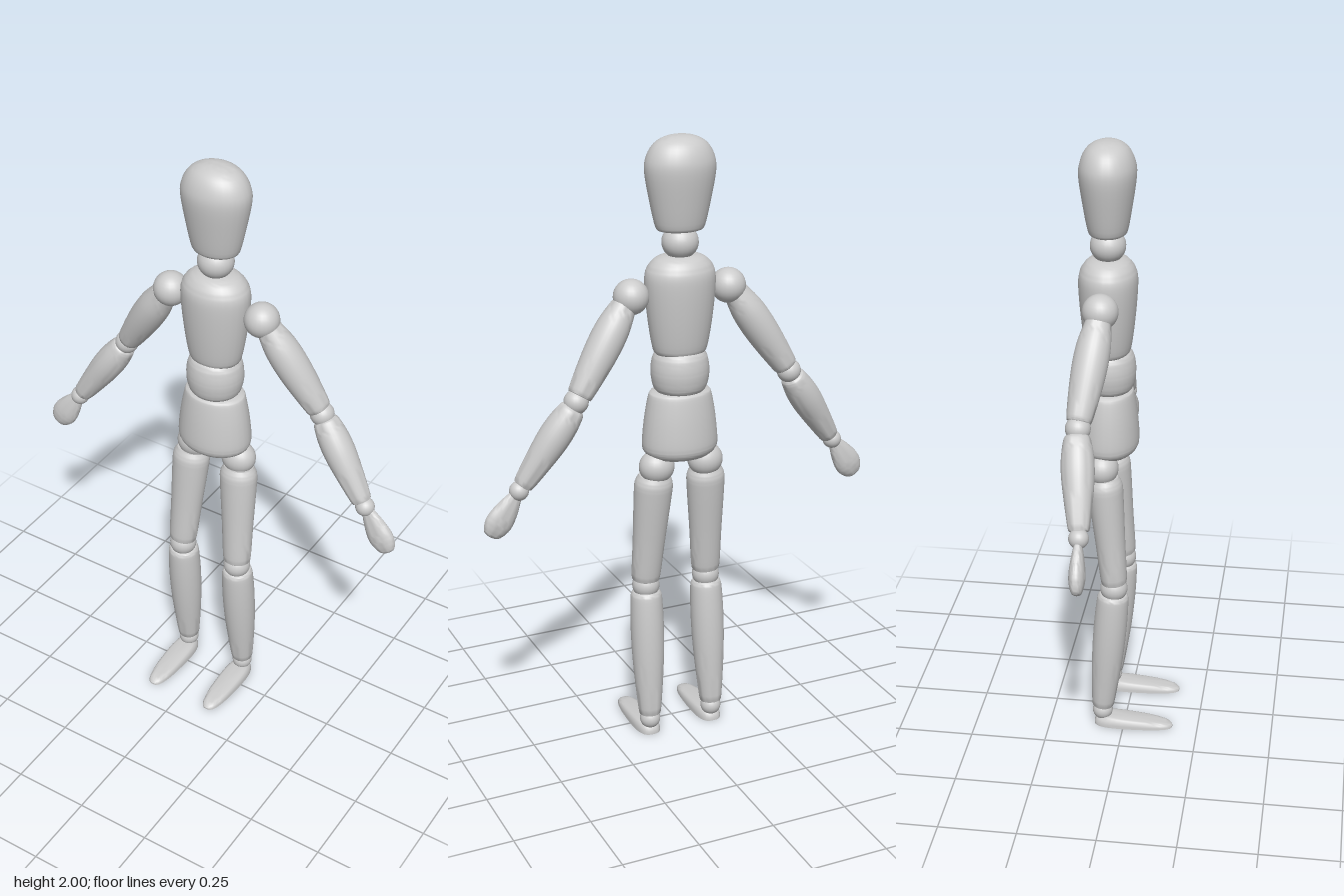
import * as THREE from 'three';
import { toCreasedNormals } from 'three/addons/utils/BufferGeometryUtils.js';

const material = new THREE.MeshStandardMaterial({ color: 0xcccccc });
const UP = new THREE.Vector3(0, 1, 0);
const BODY_Z = -0.063;

// Turned wooden part: [radius, t] profile from its lower end to its upper end, closed with flat caps
function turned(name, lower, upper, profile, depth = 1) {
  const a = new THREE.Vector3(...lower);
  const axis = new THREE.Vector3(...upper).sub(a);
  const length = axis.length();
  const curve = new THREE.SplineCurve(profile.map(([r, t]) => new THREE.Vector2(r, t * length)));
  const points = curve.getPoints(28);
  points.forEach((p) => { p.x = Math.max(p.x, 0); });
  points.unshift(new THREE.Vector2(0, points[0].y));
  points.push(new THREE.Vector2(0, length));
  const geometry = new THREE.LatheGeometry(points, 28);
  geometry.scale(1, 1, depth);
  const mesh = new THREE.Mesh(toCreasedNormals(geometry, 0.75), material);
  mesh.name = name;
  mesh.position.copy(a);
  mesh.quaternion.setFromUnitVectors(UP, axis.normalize());
  return mesh;
}

function ball(name, center, rx, ry = rx, rz = rx) {
  const mesh = new THREE.Mesh(new THREE.SphereGeometry(1, 24, 16), material);
  mesh.name = name;
  mesh.position.set(...center);
  mesh.scale.set(rx, ry, rz);
  return mesh;
}

// Flat-soled wedge: a low dome stretched into a long outline, narrower and thinner at the toe
function foot(name, x) {
  const profile = [[0, 0], [1, 0], [1, 0.3], [0.95, 0.65], [0.83, 0.92], [0.68, 1], [0, 1]];
  const geometry = new THREE.LatheGeometry(profile.map((p) => new THREE.Vector2(...p)), 36);
  const p = geometry.attributes.position;
  const power = (v, e) => Math.sign(v) * Math.abs(v) ** e;
  for (let i = 0; i < p.count; i++) {
    const r = Math.hypot(p.getX(i), p.getZ(i));
    const c = r ? p.getX(i) / r : 0;
    const s = r ? p.getZ(i) / r : 0;
    const z = r * power(s, 0.75);
    const toe = (z + 1) / 2;
    p.setXYZ(i, r * power(c, 0.65) * (0.047 - 0.013 * toe), p.getY(i) * (0.038 - 0.02 * toe), z * 0.1325);
  }
  const mesh = new THREE.Mesh(toCreasedNormals(geometry, 0.75), material);
  mesh.name = name;
  mesh.position.set(x, 0, 0.0325);
  return mesh;
}

function arm(side, s) {
  const group = new THREE.Group();
  group.name = side + 'Arm';
  group.add(
    ball('shoulderJoint', [s * 0.165, 1.515, -0.064], 0.056),
    turned('upperArm', [s * 0.355, 1.235, -0.102], [s * 0.19, 1.49, -0.066],
      [[0.034, 0], [0.041, 0.05], [0.053, 0.45], [0.053, 0.75], [0.04, 1]]),
    ball('elbowJoint', [s * 0.366, 1.218, -0.103], 0.039),
    turned('forearm', [s * 0.535, 0.965, -0.076], [s * 0.376, 1.2, -0.104],
      [[0.027, 0], [0.034, 0.04], [0.049, 0.5], [0.05, 0.75], [0.042, 0.95], [0.034, 1]]),
    ball('wristJoint', [s * 0.549, 0.946, -0.075], 0.031),
    turned('hand', [s * 0.645, 0.805, -0.068], [s * 0.557, 0.937, -0.075],
      [[0, 0], [0.026, 0.04], [0.042, 0.22], [0.045, 0.42], [0.036, 0.7], [0.022, 0.96], [0.017, 1]], 0.55),
  );
  return group;
}

function leg(side, s) {
  const group = new THREE.Group();
  group.name = side + 'Leg';
  group.add(
    ball('hipJoint', [s * 0.085, 0.95, -0.073], 0.058, 0.055, 0.052),
    turned('thigh', [s * 0.108, 0.548, -0.033], [s * 0.09, 0.92, -0.066],
      [[0.042, 0], [0.048, 0.04], [0.054, 0.4], [0.062, 0.8], [0.062, 0.93], [0.05, 1]], 0.9),
    ball('kneeJoint', [s * 0.108, 0.525, -0.034], 0.045),
    turned('shin', [s * 0.112, 0.073, -0.072], [s * 0.108, 0.503, -0.036],
      [[0.032, 0], [0.038, 0.03], [0.051, 0.4], [0.055, 0.7], [0.052, 0.95], [0.045, 1]]),
    ball('ankleJoint', [s * 0.112, 0.05, -0.073], 0.034),
    foot('foot', s * 0.112),
  );
  return group;
}

export function createModel() {
  const model = new THREE.Group();
  model.name = 'jointedFigure';

  // Head and torso, stacked along the spine
  model.add(
    turned('head', [0, 1.71, BODY_Z], [0, 2, BODY_Z],
      [[0.066, 0], [0.079, 0.035], [0.097, 0.3], [0.113, 0.62], [0.107, 0.78], [0.083, 0.91], [0.045, 0.98], [0, 1]], 0.78),
    ball('neckJoint', [0, 1.67, BODY_Z], 0.058, 0.054, 0.056),
    turned('chest', [0, 1.318, BODY_Z], [0, 1.63, BODY_Z],
      [[0.07, 0], [0.087, 0.04], [0.104, 0.35], [0.114, 0.7], [0.109, 0.86], [0.085, 0.96], [0.058, 1]], 0.81),
    turned('waist', [0, 1.188, BODY_Z], [0, 1.33, BODY_Z],
      [[0.068, 0], [0.086, 0.15], [0.094, 0.5], [0.086, 0.85], [0.068, 1]], 0.93),
    turned('pelvis', [0, 0.98, BODY_Z], [0, 1.195, BODY_Z],
      [[0.1, 0], [0.119, 0.08], [0.125, 0.22], [0.117, 0.6], [0.103, 0.94], [0.092, 1]], 0.78),
  );

  // Limbs, mirrored across the body
  for (const [side, s] of [['left', 1], ['right', -1]]) model.add(arm(side, s), leg(side, s));
  return model;
}
